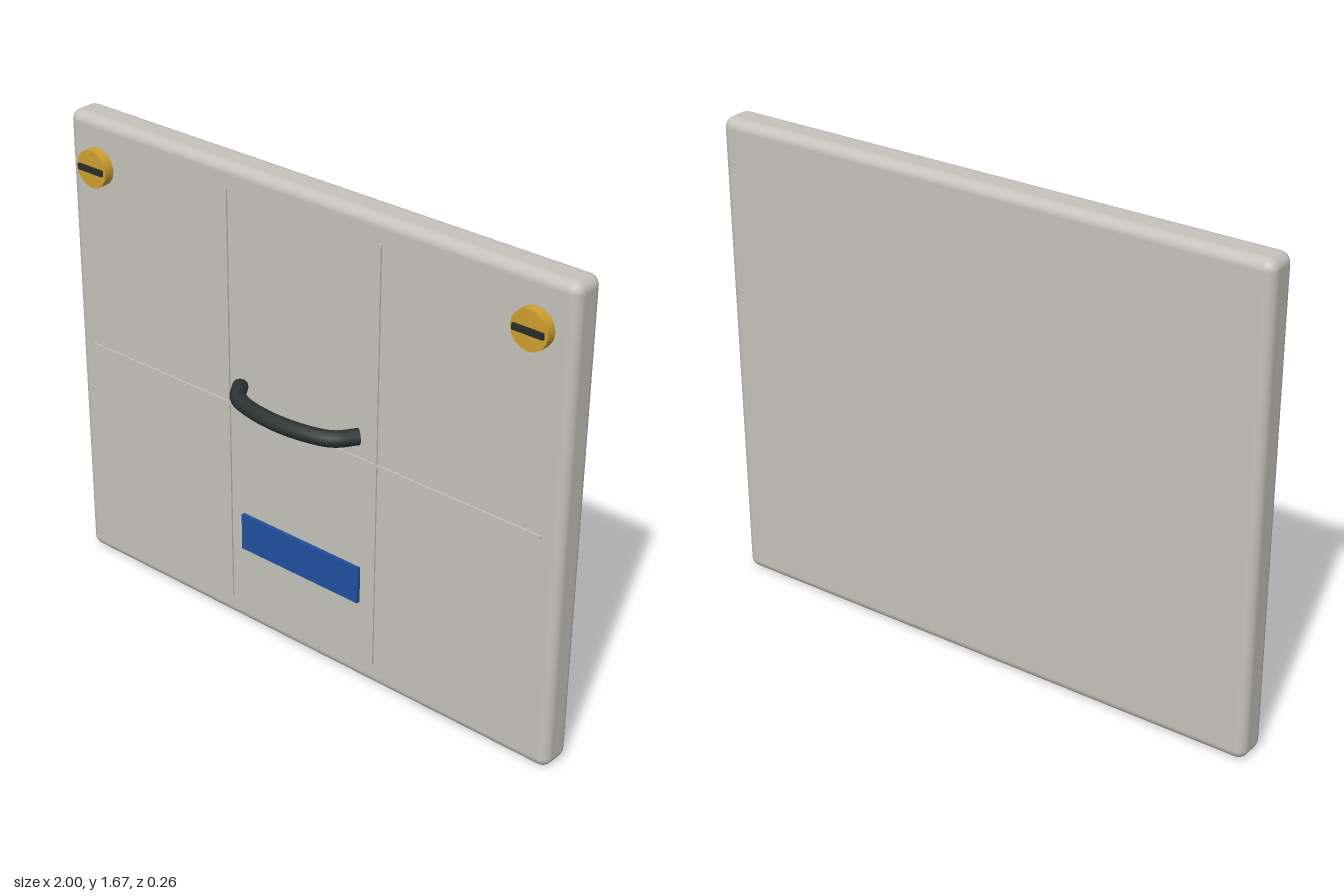
import * as THREE from 'three';
import { RoundedBoxGeometry } from 'three/addons/geometries/RoundedBoxGeometry.js';

const material = (name, color) => {
  const m = new THREE.MeshStandardMaterial({ color });
  m.name = name;
  return m;
};

export function createModel() {
  const group = new THREE.Group();
  const panelGrey = material('panelGrey', 0xc4c2ba);
  const brass = material('brass', 0xd0a030);
  const black = material('black', 0x2a2c2a);
  const handleDark = material('handleDark', 0x2a3432);
  const blue = material('blue', 0x2050a0);

  const H = 1.667, FACE = -0.013, BACK = -0.133;

  const add = (name, geometry, mat, x, y, z) => {
    const mesh = new THREE.Mesh(geometry, mat);
    mesh.name = name;
    mesh.position.set(x, y, z);
    group.add(mesh);
    return mesh;
  };
  // Box spanning z0..z1 in depth
  const box = (name, w, h, z0, z1, mat, x, y) =>
    add(name, new THREE.BoxGeometry(w, h, z1 - z0), mat, x, y, (z0 + z1) / 2);

  // Rounded slab
  add('panel', new RoundedBoxGeometry(2, H, FACE - BACK, 4, 0.035), panelGrey,
    0, H / 2, (FACE + BACK) / 2);

  // Fine raised seams across the front
  box('horizontalSeam', 1.86, 0.01, FACE - 0.005, -0.007, panelGrey, 0, H / 2);
  for (const s of [-1, 1]) {
    box('verticalSeam', 0.01, 1.5, FACE - 0.005, -0.007, panelGrey, s * 0.307, H / 2);

    // Slotted fasteners in the upper corners
    const knob = new THREE.CylinderGeometry(0.065, 0.065, 0.038, 16).rotateX(Math.PI / 2);
    add('fastener', knob, brass, s * 0.867, 1.503, 0.004);
    box('fastenerSlot', 0.107, 0.02, 0.02, 0.032, black, s * 0.867, 1.503);
  }

  // Bowed pull handle
  const half = [[0.247, 0], [0.2, 0.062], [0.13, 0.09]];
  const points = [
    ...half.map(([x, z]) => new THREE.Vector3(-x, 0, z)),
    new THREE.Vector3(0, 0, 0.105),
    ...half.slice().reverse().map(([x, z]) => new THREE.Vector3(x, 0, z)),
  ];
  const path = new THREE.CatmullRomCurve3(points);
  handleDark.side = THREE.DoubleSide;
  add('handle', new THREE.TubeGeometry(path, 32, 0.027, 12), handleDark, 0, 0.92, 0);

  // Blue label plate
  box('labelPlate', 0.5, 0.133, FACE - 0.003, 0, blue, 0, 0.367);

  return group;
}
